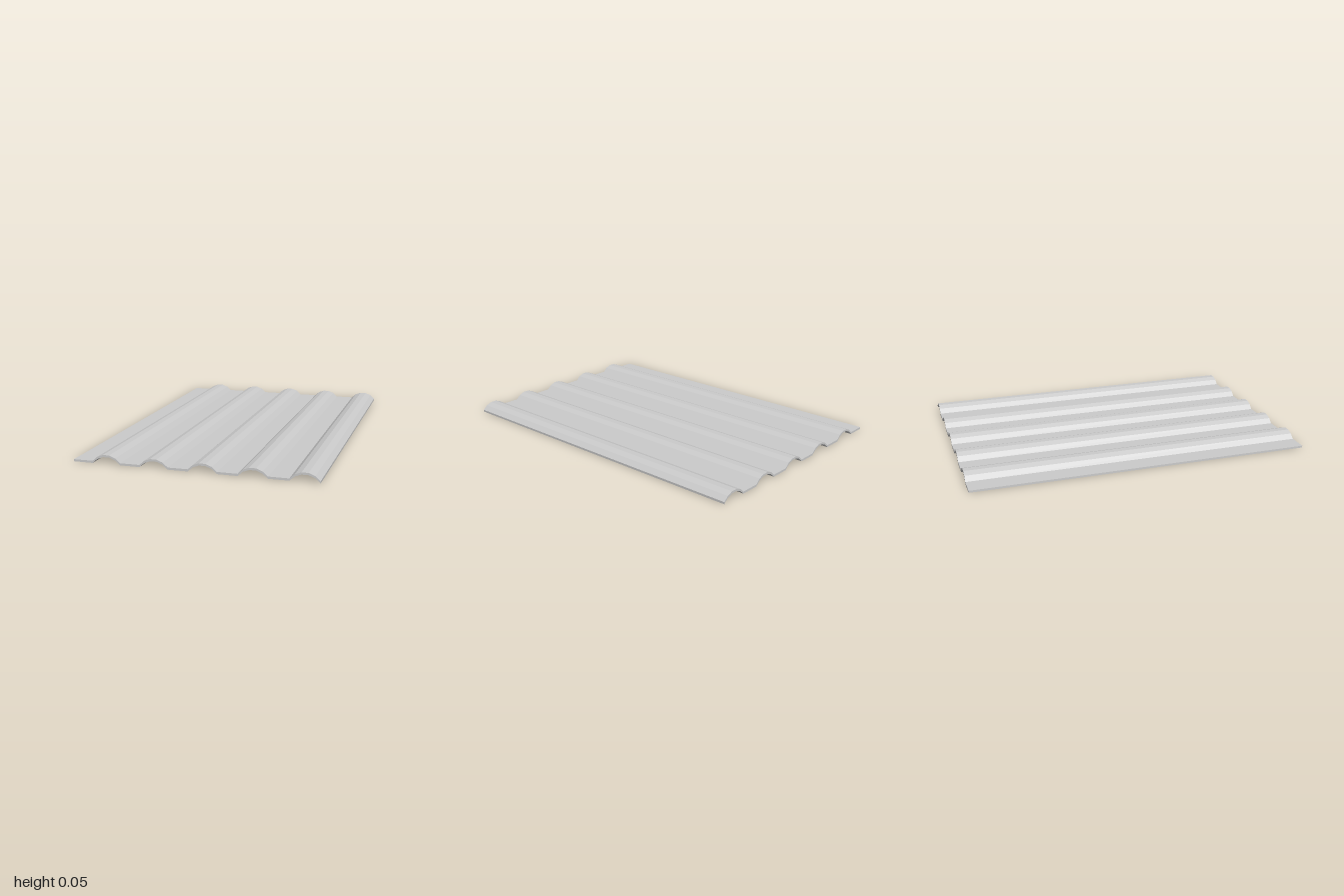
import * as THREE from 'three';

const WAVES = 5, PITCH = 0.2745, ARCH = 0.162, FACETS = 5;
const THICKNESS = 0.012, HEIGHT = 0.05, LENGTH = 2;

// Top line of the sheet: a flat strip followed by a faceted arch, repeated
function ridgeLine() {
  const half = THREE.MathUtils.degToRad(51.5);
  const radius = ARCH / 2 / Math.sin(half);
  const base = Math.cos(half), top = Math.cos(half / FACETS);
  const start = -WAVES * PITCH / 2;
  const points = [new THREE.Vector2(start, THICKNESS)];
  for (let w = 0; w < WAVES; w++) {
    const centre = start + (w + 1) * PITCH - ARCH / 2;
    for (let i = 0; i <= FACETS; i++) {
      const a = half * (2 * i / FACETS - 1);
      const rise = (Math.cos(a) - base) / (top - base);
      points.push(new THREE.Vector2(
        centre + radius * Math.sin(a),
        THICKNESS + rise * (HEIGHT - THICKNESS)));
    }
  }
  return points;
}

export function createModel() {
  const group = new THREE.Group();
  group.name = 'corrugatedPanel';

  // Underside repeats the top line, lowered by the sheet thickness
  const upper = ridgeLine();
  const lower = upper.map(p => new THREE.Vector2(p.x, p.y - THICKNESS));
  const shape = new THREE.Shape([...lower, ...upper.reverse()]);

  const geometry = new THREE.ExtrudeGeometry(shape, { depth: LENGTH, bevelEnabled: false });
  geometry.translate(0, 0, -LENGTH / 2);

  const sheet = new THREE.Mesh(
    geometry,
    new THREE.MeshStandardMaterial({ color: 0xcccccc, flatShading: true }));
  sheet.name = 'corrugatedSheet';
  group.add(sheet);
  return group;
}
